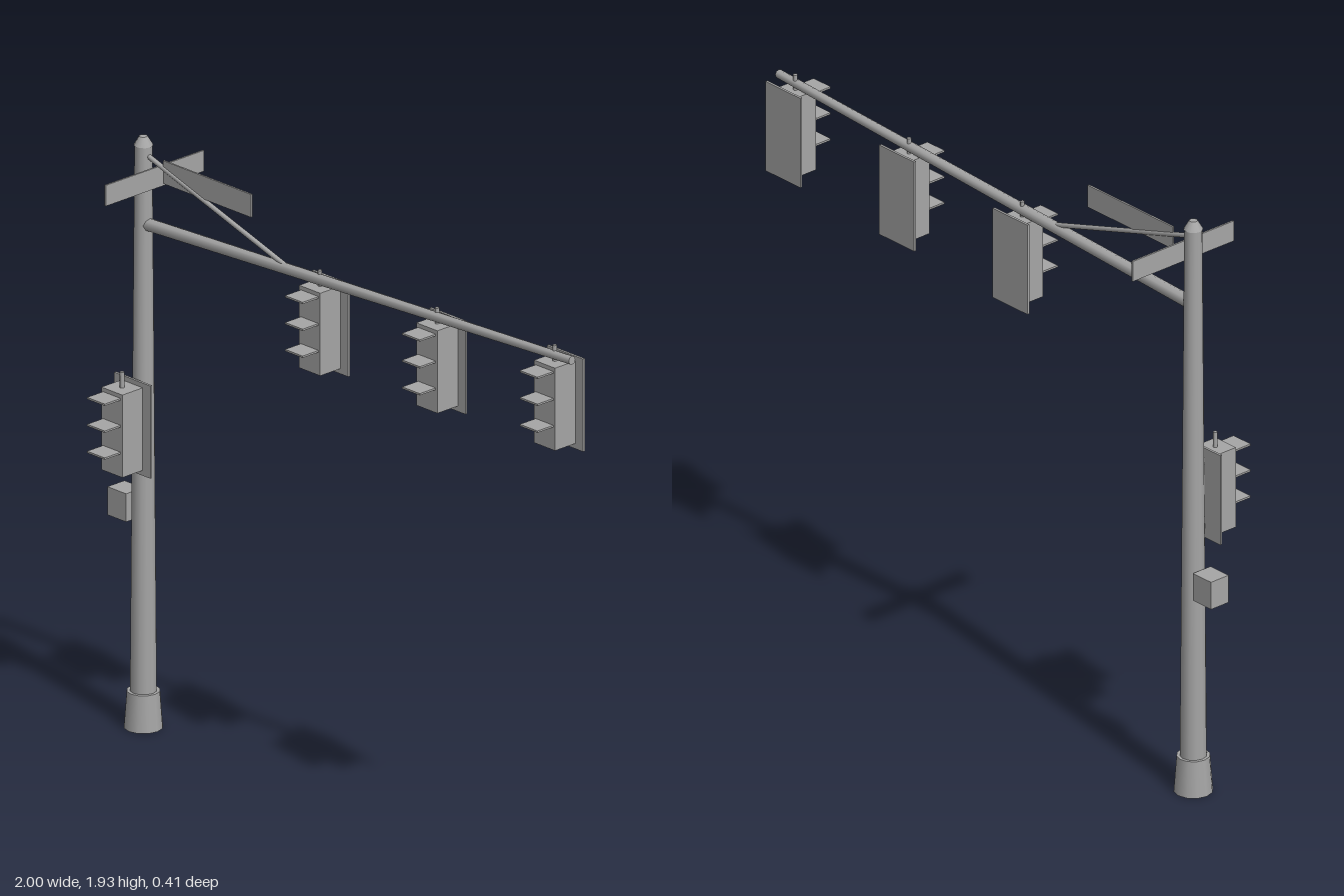
import * as THREE from 'three';

export function createModel() {
  const group = new THREE.Group();
  const grey = new THREE.MeshStandardMaterial({ color: 0xa6a6a6 });
  grey.name = 'galvanised grey';
  const POLE_X = -0.88;

  function add(parent, name, geometry, x = 0, y = 0, z = 0) {
    const mesh = new THREE.Mesh(geometry, grey);
    mesh.name = name;
    mesh.position.set(x, y, z);
    parent.add(mesh);
    return mesh;
  }
  const box = (parent, name, w, h, d, x, y, z) =>
    add(parent, name, new THREE.BoxGeometry(w, h, d), x, y, z);

  // Tapered rod between two points
  function rod(parent, name, a, b, ra, rb, sides) {
    const from = new THREE.Vector3(...a), to = new THREE.Vector3(...b);
    const dir = to.clone().sub(from);
    const mesh = add(parent, name, new THREE.CylinderGeometry(rb, ra, dir.length(), sides));
    mesh.position.copy(from).add(to).multiplyScalar(0.5);
    mesh.quaternion.setFromUnitVectors(new THREE.Vector3(0, 1, 0), dir.normalize());
    return mesh;
  }

  // Upright: flared base, tapered shaft and cap
  rod(group, 'base', [POLE_X, 0, 0], [POLE_X, 0.12, 0], 0.061, 0.052, 12);
  rod(group, 'pole', [POLE_X, 0.1, 0], [POLE_X, 1.905, 0], 0.042, 0.028, 12);
  rod(group, 'poleCap', [POLE_X, 1.903, 0], [POLE_X, 1.932, 0], 0.03, 0.013, 12);

  // Rising mast arm with diagonal brace
  rod(group, 'mastArm', [-0.87, 1.648, 0], [0.997, 1.738, 0], 0.021, 0.014, 8);
  rod(group, 'brace', [-0.87, 1.876, 0], [-0.25, 1.685, 0], 0.008, 0.008, 8);

  // Two crossed street-sign blades
  box(group, 'longSign', 0.385, 0.075, 0.006, -0.598, 1.84, 0);
  box(group, 'crossSign', 0.006, 0.068, 0.414, -0.83, 1.809, 0.002);

  // Control box on the outside of the pole
  box(group, 'controlBox', 0.082, 0.092, 0.072, -0.959, 0.714, 0);

  // Signal head: housing, backplate, hanger and three visors
  function signal(name, x, y, z) {
    const head = new THREE.Group();
    head.name = name;
    head.position.set(x, y, z);
    box(head, 'housing', 0.092, 0.27, 0.086, 0, 0, 0);
    box(head, 'backplate', 0.158, 0.303, 0.008, 0, -0.001, -0.047);
    rod(head, 'hanger', [0, 0.13, 0], [0, 0.186, 0], 0.007, 0.007, 8);
    for (let i = 0; i < 3; i++) {
      box(head, 'visor', 0.077, 0.006, 0.07, 0, 0.119 - i * 0.088, 0.075);
    }
    group.add(head);
  }
  signal('armSignalInner', -0.11, 1.528, -0.003);
  signal('armSignalMiddle', 0.403, 1.553, -0.003);
  signal('armSignalOuter', 0.918, 1.579, -0.003);
  signal('poleSignal', POLE_X, 0.999, 0.09);

  return group;
}
